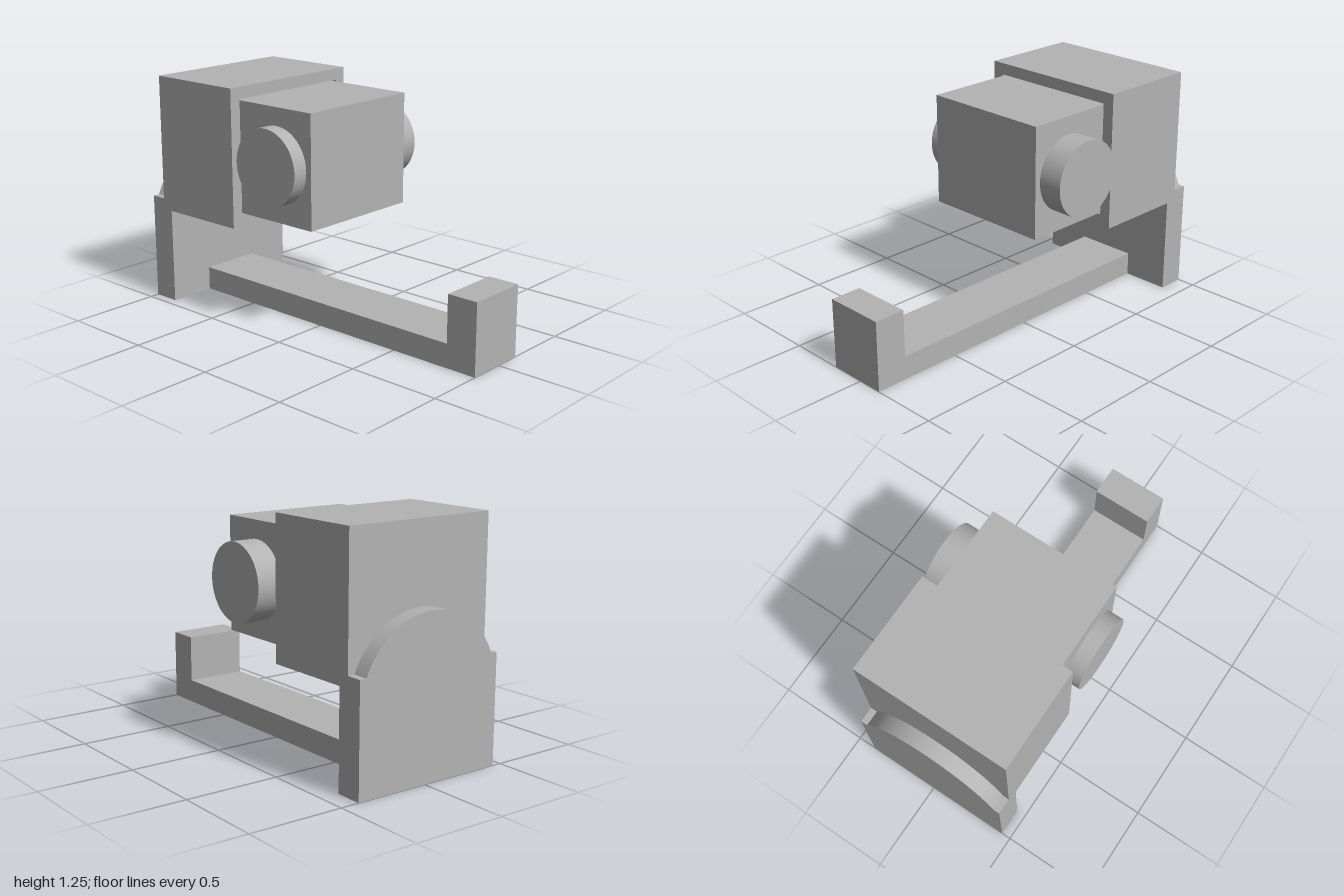
import * as THREE from 'three';
import { toCreasedNormals } from 'three/addons/utils/BufferGeometryUtils.js';

export function createModel() {
  const group = new THREE.Group();
  const grey = new THREE.MeshStandardMaterial({ color: 0xb3b3b3 });
  grey.name = 'plain grey';

  const add = (name, geometry) => {
    const mesh = new THREE.Mesh(geometry, grey);
    mesh.name = name;
    group.add(mesh);
  };
  // Box from its limits on each axis
  const box = (name, x0, x1, y0, y1, z0, z1) =>
    add(name, new THREE.BoxGeometry(x1 - x0, y1 - y0, z1 - z0)
      .translate((x0 + x1) / 2, (y0 + y1) / 2, (z0 + z1) / 2));
  // Extrude a (-z, y) outline along x
  const extrudeX = (shape, x0, x1, curveSegments = 12) =>
    new THREE.ExtrudeGeometry(shape, { depth: x1 - x0, bevelEnabled: false, curveSegments })
      .rotateY(Math.PI / 2).translate(x0, 0, 0);
  const rect = (Type, z0, z1, y0, y1) => new Type([
    new THREE.Vector2(-z1, y0), new THREE.Vector2(-z0, y0),
    new THREE.Vector2(-z0, y1), new THREE.Vector2(-z1, y1)]);

  const zBack = -0.4, zFront = 0.45;

  // Base bar with an upturned end, one L-shaped profile
  const bar = new THREE.Shape();
  bar.moveTo(-0.855, 0);
  bar.lineTo(1, 0);
  bar.lineTo(1, 0.38);
  bar.lineTo(0.83, 0.38);
  bar.lineTo(0.83, 0.127);
  bar.lineTo(-0.855, 0.127);
  bar.closePath();
  add('baseBar', new THREE.ExtrudeGeometry(bar, { depth: 0.335, bevelEnabled: false })
    .translate(0, 0, -0.142));

  // Upright: thick foot, then a thinner back plate with an arched top
  box('uprightFoot', -1, -0.855, 0, 0.515, zBack, zFront);
  const arch = new THREE.Shape();
  const radius = 0.42, archY = 0.415, half = Math.asin(0.388 / radius);
  arch.moveTo(-zFront, 0.515);
  arch.lineTo(-zBack, 0.515);
  arch.lineTo(-zBack, 0.575);
  arch.absarc(-0.025, archY, radius, Math.PI / 2 - half, Math.PI / 2 + half, false);
  arch.lineTo(-zFront, 0.575);
  arch.closePath();
  add('archedBackPlate', toCreasedNormals(extrudeX(arch, -1, -0.915, 40), 0.4));

  // Housing: solid back and a rim with a socket for the sliding block
  box('housingBack', -0.915, -0.615, 0.515, 1.25, zBack, zFront);
  const rim = rect(THREE.Shape, zBack, zFront, 0.515, 1.25);
  rim.holes.push(rect(THREE.Path, -0.338, 0.388, 0.578, 1.187));
  add('housingRim', extrudeX(rim, -0.615, -0.365));

  // Block seated in the socket with a narrow gap around it
  box('block', -0.615, 0.123, 0.584, 1.18, -0.332, 0.382);

  // Round knobs on both sides of the block
  for (const [name, z0, z1] of [['frontKnob', 0.382, 0.465], ['backKnob', -0.465, -0.332]]) {
    add(name, new THREE.CylinderGeometry(0.203, 0.203, z1 - z0, 64)
      .rotateX(Math.PI / 2).translate(-0.112, 0.882, (z0 + z1) / 2));
  }
  return group;
}
